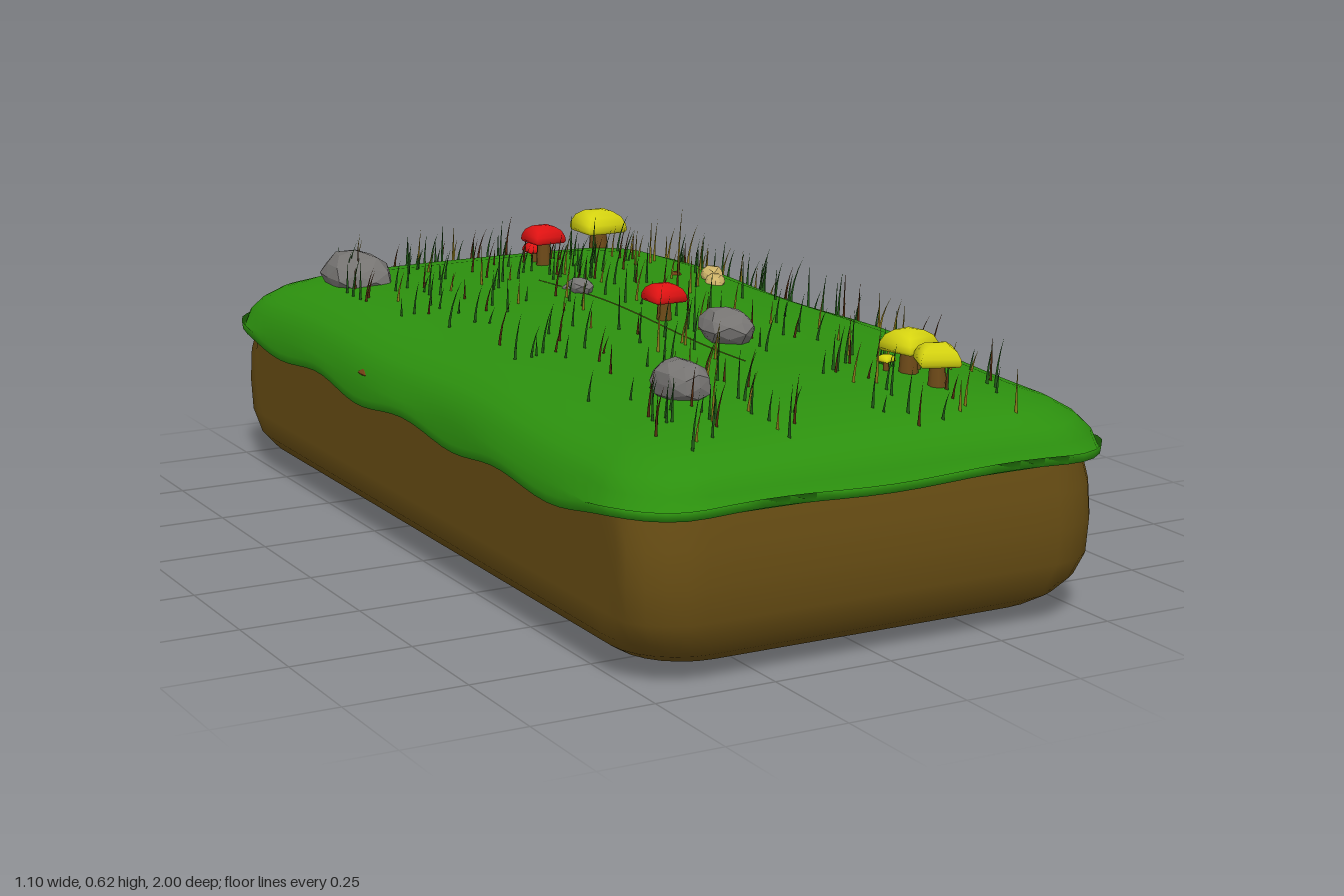
import * as THREE from 'three';
import { mergeGeometries } from 'three/addons/utils/BufferGeometryUtils.js';

const mat = (color, opts = {}) => new THREE.MeshStandardMaterial({ color, ...opts });
const GRASS = mat(0x2c900e, { side: THREE.DoubleSide });
const SOIL = mat(0x664c13, { side: THREE.DoubleSide });
const STEM = mat(0x6e4a18);
const RED = mat(0xe01212);
const YELLOW = mat(0xd6d410);
const ROCK = mat(0x767472, { flatShading: true });
const SAND = mat(0xcfb469, { flatShading: true });
const CLAY = mat(0x7a4416, { flatShading: true });

let seed = 7;
const rand = () => {
  seed = (seed * 16807) % 2147483647;
  return seed / 2147483647;
};
const range = (a, b) => a + (b - a) * rand();

const HX = 0.54, HZ = 0.995;

// Rounded rectangle inset by d, counterclockwise seen from above
function outline(d) {
  const hx = HX - d, hz = HZ - d, r = 0.15 * Math.max(0, 1 - d / HX);
  const pts = [];
  const corners = [[1, -1], [-1, -1], [-1, 1], [1, 1]];
  corners.forEach(([sx, sz], k) => {
    const cx = sx * (hx - r), cz = sz * (hz - r);
    for (let i = 0; i <= 6; i++) {
      const a = (k + i / 6) * Math.PI / 2;
      pts.push([cx + r * Math.cos(a), cz - r * Math.sin(a)]);
    }
    const [nx, nz] = corners[(k + 1) % 4];
    const a = (k + 1) * Math.PI / 2;
    const from = pts[pts.length - 1];
    const to = [nx * (hx - r) + r * Math.cos(a), nz * (hz - r) - r * Math.sin(a)];
    const n = k % 2 ? 36 : 14;
    for (let i = 1; i < n; i++) {
      pts.push([from[0] + (to[0] - from[0]) * i / n, from[1] + (to[1] - from[1]) * i / n]);
    }
  });
  return pts;
}

// Skin a stack of inset outlines; place(x, z, y, index) returns the final point
function loft(profile, place) {
  const pos = [], idx = [];
  let n = 0;
  profile.forEach(([d, y], i) => {
    const ring = outline(d);
    n = ring.length;
    ring.forEach(([x, z]) => pos.push(...place(x, z, y, i)));
  });
  for (let i = 0; i < profile.length - 1; i++) {
    for (let j = 0; j < n; j++) {
      const a = i * n + j, b = i * n + (j + 1) % n;
      idx.push(a, b, a + n, b, b + n, a + n);
    }
  }
  const g = new THREE.BufferGeometry();
  g.setAttribute('position', new THREE.Float32BufferAttribute(pos, 3));
  g.setIndex(idx);
  g.computeVertexNormals();
  return g;
}

const edgeWave = (x, z) => 0.01 * Math.cos(z * 14) + 0.022 * z ** 4 - 0.004 * Math.cos(x * 12);
const topWave = (x, z) => 0.006 * Math.sin(z * 7 + 2.5) * Math.cos(x * 5) - 0.018 * z * z;
const TOP = [[0, 0.35], [0.012, 0.385], [0.035, 0.412], [0.07, 0.434], [0.12, 0.45],
  [0.2, 0.461], [0.32, 0.468], [0.43, 0.471], [0.539, 0.472]];

// Height of the turf at a point
function ground(x, z) {
  const d = Math.max(0, Math.min(HX - Math.abs(x), HZ - Math.abs(z)));
  let i = 0;
  while (i < TOP.length - 2 && TOP[i + 1][0] < d) i++;
  const [d0, y0] = TOP[i], [d1, y1] = TOP[i + 1];
  return y0 + (y1 - y0) * Math.min(1, (d - d0) / (d1 - d0)) + topWave(x, z);
}

function add(parent, name, geometry, material) {
  const m = new THREE.Mesh(geometry, material);
  m.name = name;
  parent.add(m);
  return m;
}

// Stem with a square, domed cap; w is the half width
function mushroom(parent, x, z, w, top, material, turn = 0) {
  const g = new THREE.Group();
  g.name = 'mushroom';
  const base = ground(x, z) - 0.02, capH = w * 1.05, h = top - capH - base;
  const stem = add(g, 'mushroomStem',
    new THREE.CylinderGeometry(w * 0.36, w * 0.5, h + capH * 0.4, 8), STEM);
  stem.position.y = (h + capH * 0.4) / 2;
  const profile = [[0, 0.22], [0.5, 0.12], [0.92, 0], [1, 0.14], [0.96, 0.4], [0.8, 0.72], [0.5, 0.93], [0, 1]]
    .map(([r, y]) => new THREE.Vector2(r * w * Math.SQRT2, y * capH));
  const cap = add(g, 'mushroomCap', new THREE.LatheGeometry(profile, 4), material);
  cap.rotation.y = Math.PI / 4;
  cap.position.y = h;
  g.position.set(x, base, z);
  g.rotation.y = turn;
  parent.add(g);
}

// Faceted boulder, partly sunk in the turf
function rock(parent, x, z, rx, rz, top, material, turn = 0) {
  const g = new THREE.IcosahedronGeometry(1, 1), p = g.attributes.position;
  for (let i = 0; i < p.count; i++) {
    const a = p.getX(i), b = p.getY(i), c = p.getZ(i);
    const s = 1 + 0.09 * Math.sin(a * 5 + x * 40) * Math.cos(c * 4 + z * 30) + 0.05 * Math.sin(b * 6 + x * 9);
    p.setXYZ(i, a * s, b * s, c * s);
  }
  g.computeVertexNormals();
  const m = add(parent, 'rock', g, material);
  const ry = Math.max((top - ground(x, z)) * 0.65, rx * 0.7);
  m.scale.set(rx, ry, rz);
  m.position.set(x, top - ry, z);
  m.rotation.y = turn;
}

// Thin tapering blade, bent sideways towards its tip
function blade(x, z, h, lean, dir) {
  const g = new THREE.ConeGeometry(0.0042, h, 3, 4), p = g.attributes.position;
  g.translate(0, h / 2, 0);
  for (let i = 0; i < p.count; i++) {
    const t = p.getY(i) / h, s = lean * h * t * t;
    p.setX(i, p.getX(i) + s * Math.cos(dir));
    p.setZ(i, p.getZ(i) + s * Math.sin(dir));
  }
  g.translate(x, ground(x, z) - 0.012, z);
  g.computeVertexNormals();
  return g;
}

export function createModel() {
  const model = new THREE.Group();
  model.name = 'grassBlock';

  // Soil: rounded underside, sheer wall on the right-hand side
  const soil = [[0.538, 0.012], [0.35, 0.012], [0.2, 0.013], [0.13, 0.018], [0.085, 0.032], [0.05, 0.055],
    [0.025, 0.085], [0.008, 0.13], [0.004, 0.2], [0.008, 0.27], [0.025, 0.35]];
  add(model, 'soil', loft(soil, (x, z, y) => {
    const sag = y < 0.06 ? 0.01 * Math.exp(-(((x - 0.12) / 0.3) ** 2) - ((z - 0.25) / 0.4) ** 2) : 0;
    return [Math.max(x, -0.515) + (x > 0.4 ? 0.006 * Math.sin(z * 5) : 0), y - sag, z];
  }), SOIL);

  // Turf with a wavy overhanging lip
  const turf = [[0.03, 0.33], [0.012, 0.305], [-0.003, 0.307], [-0.005, 0.325], ...TOP];
  add(model, 'turf', loft(turf, (x, z, y, i) =>
    [x + (i < 8 ? 0.004 * Math.sin(z * 9) : 0), y + (i < 4 ? edgeWave(x, z) : topWave(x, z)), z]), GRASS);

  // Mushrooms: x, z, half width, top, turn
  const red = [[0.03, 0.07, 0.036, 0.55], [0.107, -0.645, 0.038, 0.55, 0.05], [0.112, -0.7, 0.022, 0.5]];
  const yellow = [[0.365, -0.865, 0.051, 0.53], [0.245, 0.67, 0.042, 0.547, 0.25],
    [0.245, 0.77, 0.04, 0.538, -0.4], [0.28, 0.648, 0.016, 0.503, 0.3], [0.207, 0.648, 0.014, 0.495, 0.3]];
  red.forEach(([x, z, w, t, r]) => mushroom(model, x, z, w, t, RED, r));
  yellow.forEach(([x, z, w, t, r]) => mushroom(model, x, z, w, t, YELLOW, r));

  // Rocks: x, z, radii, top, material, turn
  [[-0.33, -0.72, 0.075, 0.112, 0.515, ROCK], [0.07, 0.26, 0.055, 0.077, 0.53, ROCK],
    [-0.24, 0.62, 0.05, 0.072, 0.53, ROCK, 0.1], [-0.19, 0.56, 0.024, 0.031, 0.49, ROCK],
    [0.005, -0.26, 0.026, 0.04, 0.505, ROCK], [0.01, -0.312, 0.025, 0.021, 0.485, ROCK],
    [0.348, -0.27, 0.023, 0.043, 0.477, SAND, -0.5], [0.372, -0.325, 0.026, 0.042, 0.484, SAND, -0.4],
    [0.312, -0.385, 0.012, 0.012, 0.468, CLAY], [-0.525, -0.21, 0.016, 0.035, 0.372, CLAY]]
    .forEach(r => rock(model, ...r));

  // Grass patches: x range, z range, count
  const patches = [[-0.17, 0.16, -0.93, -0.87, 22], [-0.42, 0.2, -0.78, -0.4, 60], [0.15, 0.42, -0.75, -0.4, 25],
    [-0.4, 0.42, -0.35, -0.05, 45], [-0.38, 0.3, 0.02, 0.42, 50], [-0.4, -0.08, 0.52, 0.9, 45],
    [0.05, 0.42, 0.5, 0.92, 40], [0.45, 0.52, -0.7, 0.25, 50]];
  const kinds = [
    { name: 'greenGrass', color: 0x24601a, list: [] },
    { name: 'dryGrass', color: 0x9a8420, list: [] },
    { name: 'brownGrass', color: 0x5a3010, list: [] }];
  for (const [x0, x1, z0, z1, n] of patches) {
    for (let i = 0; i < n; i++) {
      const k = rand(), kind = kinds[k < 0.68 ? 0 : k < 0.85 ? 1 : 2];
      kind.list.push(blade(range(x0, x1), range(z0, z1), range(0.045, 0.115), range(0, 0.28), range(-0.9, 0.9)));
    }
  }
  // A few tall dry stalks
  [[0.31, -0.37, 0.17], [-0.11, 0.3, 0.15], [0.14, 0.72, 0.13], [-0.27, 0.8, 0.13]]
    .forEach(([x, z, h]) => kinds[1].list.push(blade(x, z, h, 0.06, 0)));
  kinds.forEach(k => add(model, k.name, mergeGeometries(k.list), mat(k.color)));
  return model;
}
